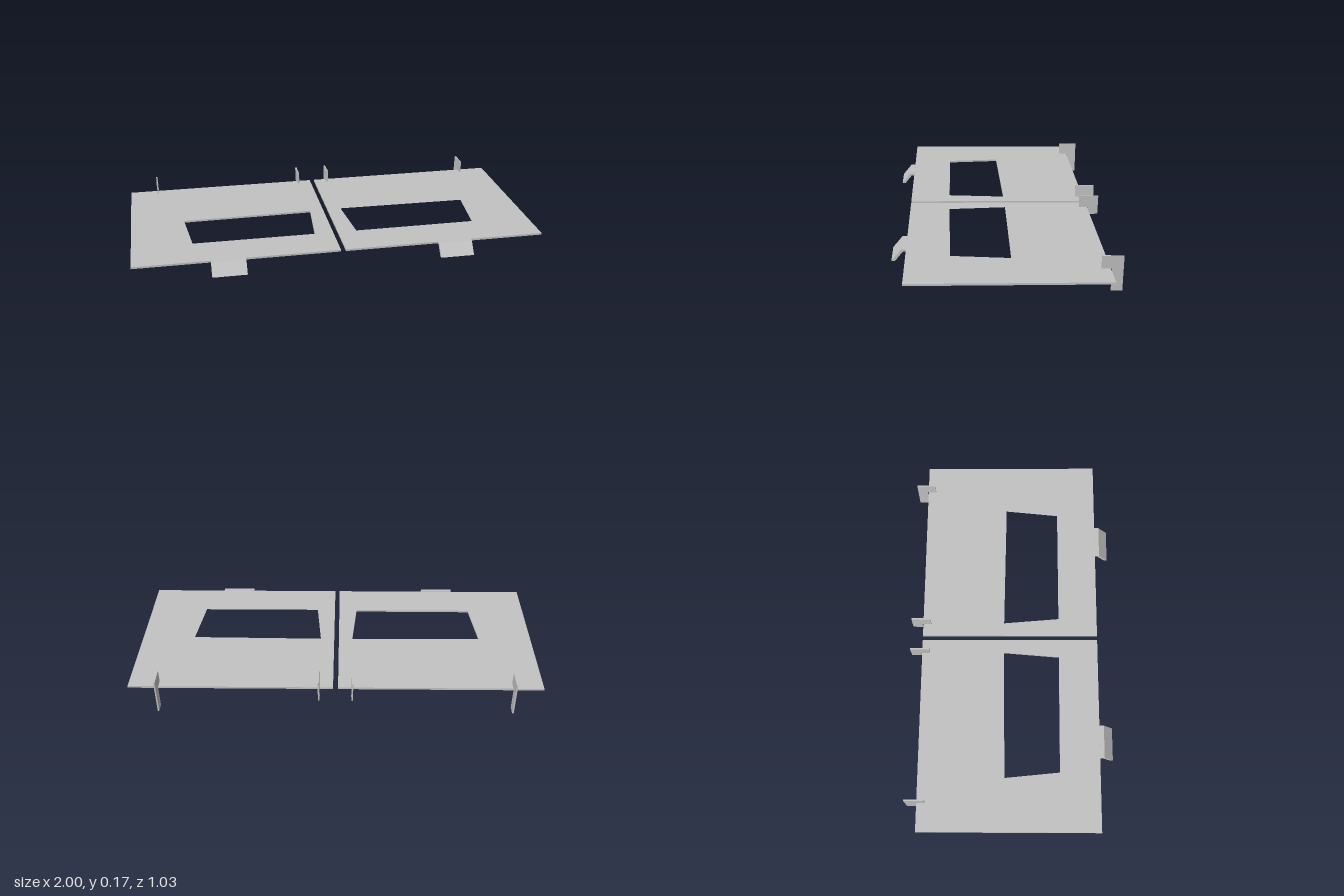
import * as THREE from 'three';

// Closed outline from [x, y] pairs
const outline = (pts, Type = THREE.Shape) =>
  new Type(pts.map(([x, y]) => new THREE.Vector2(x, y)));

// Extrudes a [z, y] side profile along x, centred on x = 0
function sideExtrude(profile, width) {
  const shape = outline(profile.map(([z, y]) => [-z, y]));
  const geo = new THREE.ExtrudeGeometry(shape, { depth: width, bevelEnabled: false });
  return geo.rotateY(Math.PI / 2).translate(-width / 2, 0, 0);
}

// Flat panel with a trapezoid window, sloping gently down to the back
function panelGeometry(s) {
  const plan = ([x, z]) => [s * x, -z];
  const shape = outline([[0.012, -0.458], [1, -0.458], [1, 0.446], [0.012, 0.446]].map(plan));
  shape.holes.push(outline(
    [[0.081, -0.036], [0.734, -0.028], [0.706, 0.246], [0.105, 0.247]].map(plan), THREE.Path));
  const geo = new THREE.ExtrudeGeometry(shape, { depth: 0.0095, bevelEnabled: false });
  geo.rotateX(-Math.PI / 2);
  const p = geo.attributes.position;
  for (let i = 0; i < p.count; i++) p.setY(i, p.getY(i) + 0.1045 + 0.0133 * p.getZ(i));
  geo.computeVertexNormals();
  return geo;
}

// Thin L-shaped hook, leaning slightly outward at the top
function hookGeometry(s, bottom) {
  const geo = sideExtrude([
    [-0.417, 0.171], [-0.515, 0.168], [-0.513, bottom], [-0.462, bottom],
    [-0.463, 0.104], [-0.459, 0.108], [-0.417, 0.109],
  ], 0.007);
  const p = geo.attributes.position;
  for (let i = 0; i < p.count; i++) p.setX(i, p.getX(i) + s * 0.03 * (p.getY(i) - 0.1));
  geo.computeVertexNormals();
  return geo;
}

export function createModel() {
  const group = new THREE.Group();
  const grey = new THREE.MeshStandardMaterial({ color: 0xc2c2c2 });
  grey.name = 'plain grey';

  const add = (name, geo, x = 0) => {
    const mesh = new THREE.Mesh(geo, grey);
    mesh.name = name;
    mesh.position.x = x;
    group.add(mesh);
  };

  // Bent lip on the front edge
  const tabProfile = [
    [0.445, 0.1215], [0.468, 0.1215], [0.514, 0.066], [0.497, 0.066], [0.46, 0.111], [0.445, 0.111],
  ];

  for (const [s, side] of [[1, 'left'], [-1, 'right']]) {
    add(side + 'Panel', panelGeometry(s));
    add(side + 'FrontTab', sideExtrude(tabProfile, 0.165), s * 0.55);
    add(side + 'OuterHook', hookGeometry(s, 0), s * 0.855);
    add(side + 'InnerHook', hookGeometry(s, 0.07), s * 0.08);
  }
  return group;
}
